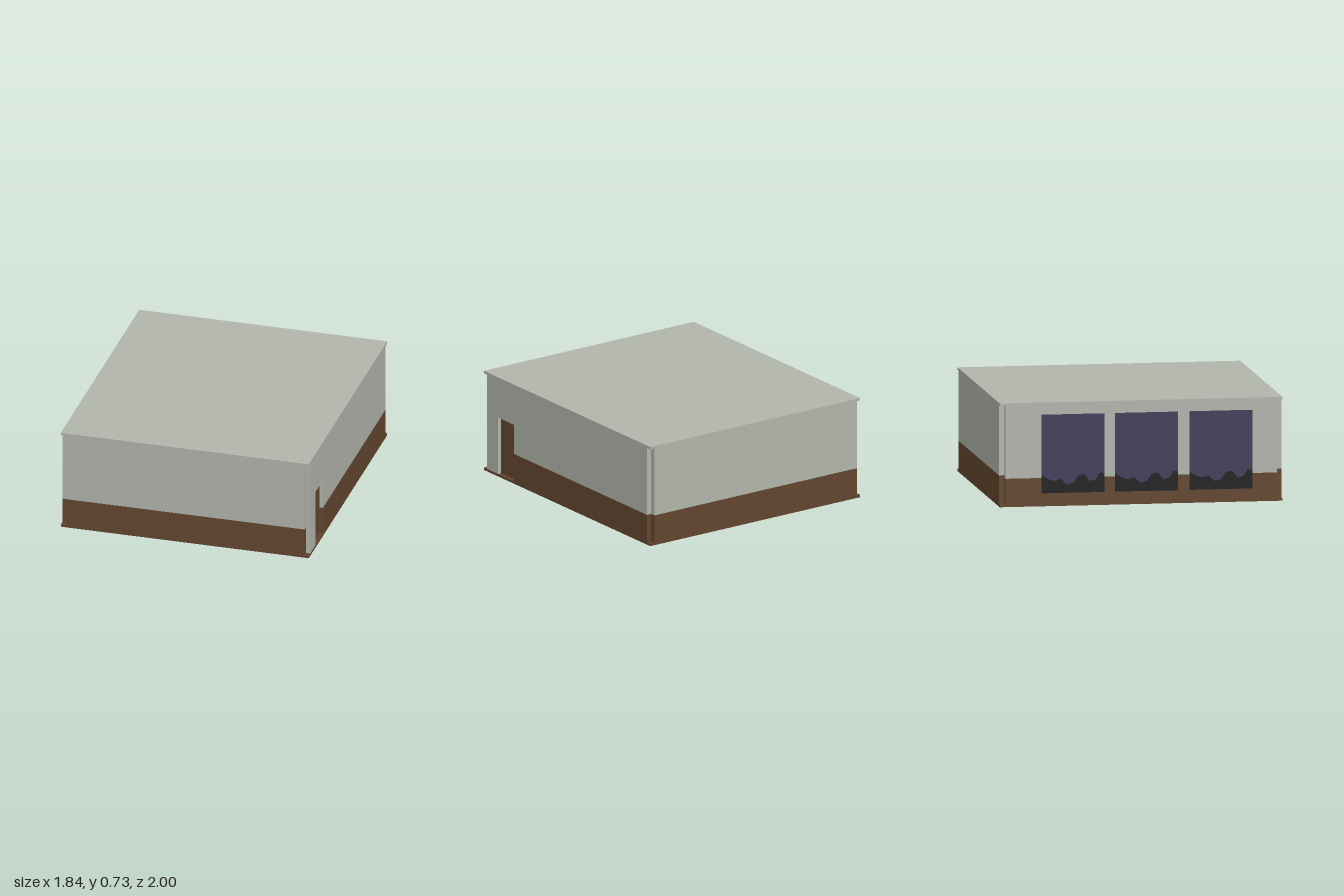
import * as THREE from 'three';

const plaster = new THREE.MeshStandardMaterial({ color: 0xb1b5ab });
plaster.name = 'grey plaster';
const wood = new THREE.MeshStandardMaterial({ color: 0x63462e });
wood.name = 'brown wood';
const glass = new THREE.MeshStandardMaterial({ color: 0x433e5a });
glass.name = 'night glass';
const dark = new THREE.MeshStandardMaterial({ color: 0x202020 });
dark.name = 'dark silhouette';

const FLOOR = 0.018, CEIL = 0.714, DOOR_TOP = 0.435;

export function createModel() {
  const root = new THREE.Group();
  root.name = 'building';

  const add = (parent, name, geometry, material) => {
    const mesh = new THREE.Mesh(geometry, material);
    mesh.name = name;
    parent.add(mesh);
    return mesh;
  };

  // upright rectangle from a to b (x, z), facing outward
  const sheet = (name, a, b, y0, y1, material) => {
    if (y1 - y0 < 1e-4) return;
    const dx = b[0] - a[0], dz = b[1] - a[1];
    const m = add(root, name, new THREE.PlaneGeometry(Math.hypot(dx, dz), y1 - y0), material);
    m.position.set((a[0] + b[0]) / 2, (y0 + y1) / 2, (a[1] + b[1]) / 2);
    m.rotation.y = Math.atan2(-dz, dx);
  };

  // wall with brown wainscot up to `split`, plaster above
  const wall = (name, a, b, split, top = CEIL) => {
    const s = Math.max(split, FLOOR);
    sheet(name + 'Wainscot', a, b, FLOOR, s, wood);
    sheet(name, a, b, s, top, plaster);
  };

  // floor and roof slabs
  add(root, 'floorSlab', new THREE.BoxGeometry(1.8, FLOOR, 2), wood).position.set(0.02, FLOOR / 2, 0);
  add(root, 'roofSlab', new THREE.BoxGeometry(1.8, 0.732 - CEIL, 2), plaster)
    .position.set(0.02, (0.732 + CEIL) / 2, 0);

  // perimeter walls with notched corners: name, end point, wainscot height, top
  let from = [-0.84, 1];
  const run = [
    ['frontWall', [0.89, 1], 0.22],
    ['cornerReturn', [0.89, 0.96], 0.22],
    ['cornerReturn', [0.92, 0.96], 0],
    ['entranceWall', [0.92, 0.83], 0],
    ['doorJamb', [0.895, 0.83], 0, DOOR_TOP],
    ['door', [0.895, 0.64], DOOR_TOP, DOOR_TOP],
    ['doorJamb', [0.92, 0.64], 0.22, DOOR_TOP],
    ['doorSideWall', [0.92, -0.96], 0.22],
    ['cornerReturn', [0.885, -0.96], 0.22],
    ['cornerReturn', [0.885, -1], 0.22],
    ['backWall', [-0.84, -1], 0.22],
    ['cornerReturn', [-0.84, -0.96], 0.22],
    ['cornerReturn', [-0.88, -0.96], 0.2],
    ['windowWall', [-0.88, 0.96], 0.2],
    ['cornerReturn', [-0.84, 0.96], 0.2],
    ['cornerReturn', [-0.84, 1], 0.22],
  ];
  for (const [name, to, split, top] of run) {
    wall(name, from, to, split, top);
    from = to;
  }

  // wall over the door and the underside of its recess
  sheet('doorLintel', [0.92, 0.83], [0.92, 0.64], DOOR_TOP, CEIL, plaster);
  const soffit = add(root, 'doorSoffit', new THREE.PlaneGeometry(0.025, 0.19), plaster);
  soffit.rotation.x = Math.PI / 2;
  soffit.position.set(0.9075, DOOR_TOP, 0.735);

  // three windows standing just off the wall, each with a ragged skyline
  const W = 0.445, H = 0.555;
  const skyline = [[0, 0.13], [0.1, 0.1], [0.2, 0.085], [0.3, 0.1], [0.4, 0.06], [0.5, 0.07],
    [0.58, 0.12], [0.68, 0.13], [0.76, 0.08], [0.86, 0.09], [0.93, 0.14], [1, 0.13]];
  const line = skyline.map(([u, v]) => new THREE.Vector2(u * W, v));
  const corner = (x, y) => new THREE.Vector2(x, y);
  const hills = new THREE.ShapeGeometry(new THREE.Shape([corner(W, 0), ...[...line].reverse(), corner(0, 0)]));
  const sky = new THREE.ShapeGeometry(new THREE.Shape([...line, corner(W, H), corner(0, H)]));
  for (const z of [-0.71, -0.19, 0.335]) {
    const win = new THREE.Group();
    win.name = 'window';
    add(win, 'windowGlass', sky, glass);
    add(win, 'windowSkyline', hills, dark);
    win.rotation.y = -Math.PI / 2;
    win.position.set(-0.92, 0.097, z);
    root.add(win);
  }
  return root;
}
